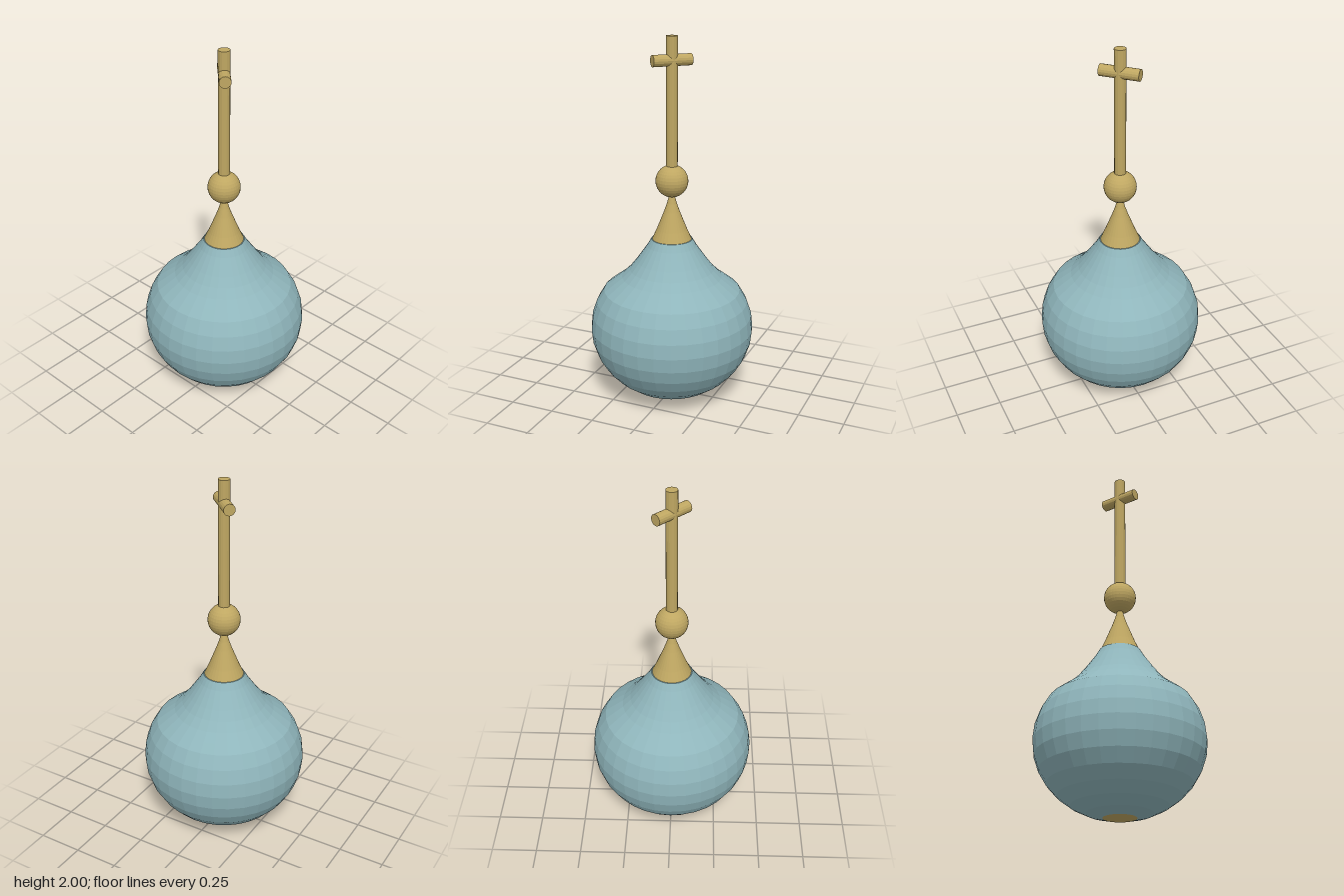
import * as THREE from 'three';

export function createModel() {
  const model = new THREE.Group();
  const blue = new THREE.MeshStandardMaterial({ color: 0x8fb5bb, flatShading: true, side: THREE.DoubleSide });
  const gold = new THREE.MeshStandardMaterial({ color: 0xbfa762, flatShading: true, side: THREE.DoubleSide });

  const add = (name, geometry, material, y = 0) => {
    const mesh = new THREE.Mesh(geometry, material);
    mesh.name = name;
    mesh.position.y = y;
    model.add(mesh);
    return mesh;
  };
  const lathe = (points) => new THREE.LatheGeometry(points.map(([r, y]) => new THREE.Vector2(r, y)), 32);

  // Squashed spherical bulb, flowing into a concave neck
  const bulb = [];
  for (let i = 1; i <= 11; i++) {
    const a = (i * Math.PI) / 16;
    bulb.push([0.45 * Math.sin(a), 0.4 - 0.4 * Math.cos(a)]);
  }
  const neck = [[0.325, 0.66], [0.275, 0.697], [0.232, 0.74], [0.195, 0.787], [0.163, 0.832], [0.135, 0.872], [0.112, 0.912]];
  add('dome', lathe([...bulb, ...neck, [0.1, 0.912]]), blue);

  // Small cap closing the underside
  add('bottomCap', lathe([[0, 0], bulb[0]]), gold);

  // Flared spire base
  add('spire', lathe([[0, 0.912], [0.107, 0.912], [0.083, 0.965], [0.061, 1.02], [0.043, 1.065], [0.027, 1.11], [0.015, 1.155]]), gold);

  // Ball and cross
  add('ball', new THREE.SphereGeometry(0.088, 32, 16), gold, 1.235);
  add('crossPost', new THREE.CylinderGeometry(0.031, 0.031, 0.72, 16), gold, 1.64);
  const bar = add('crossBar', new THREE.CylinderGeometry(0.031, 0.031, 0.216, 16), gold, 1.875);
  bar.rotation.set(0, Math.PI / 4, Math.PI / 2);

  return model;
}
